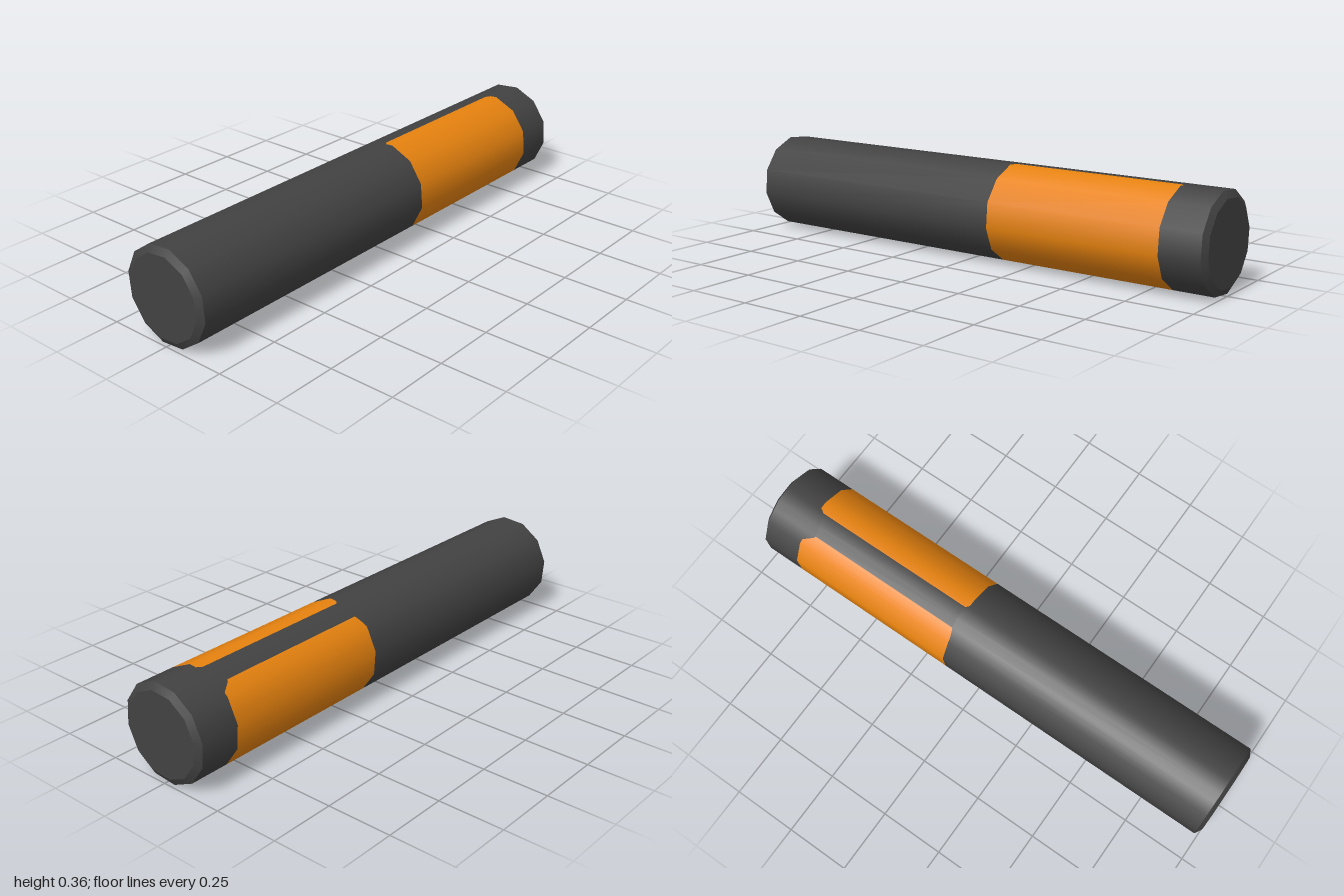
import * as THREE from 'three';

const R = 0.1845, R_END = 0.159, CY = 0.1817, X_RIM = 0.985, SIDES = 12;

// Around the barrel: [side number + fraction, wrap start x, wrap end x]
const STATIONS = [
  [0, 0.135, 0.83], [1, 0.135, 0.83], [2, 0.137, 0.83], [3, 0.137, 0.83],
  [3.3, 0.138, 0.83], [3.44, 0.15, 0.81], [4, 0.15, 0.79], [4.41, 0.15, 0.785],
  [4.5, 0.145, 0.79], [4.8, 0.137, 0.828], [5, 0.135, 0.83], [6, 0.135, 0.83], [7, 0.133, 0.83],
  [8, 0.13, 0.83], [9, 0.128, 0.83], [10, 0.128, 0.83], [11, 0.13, 0.828], [12, 0.135, 0.83],
];
const STRIPE = [3.44, 4.41]; // bare stripe left between the wrap's edges

// Point on the twelve-sided outline as [y, z], for unit radius
function outline(u) {
  const corner = (k) => {
    const a = THREE.MathUtils.degToRad(-10 + (k * 360) / SIDES);
    return [Math.sin(a), Math.cos(a)];
  };
  const k = Math.floor(u), t = u - k, a = corner(k), b = corner(k + 1);
  return [a[0] + (b[0] - a[0]) * t, a[1] + (b[1] - a[1]) * t];
}

// Vertex at station u; nx tilts the normal along the axis
function vertex(u, x, r, nx = 0) {
  const [y, z] = outline(u);
  const radial = new THREE.Vector2(y, z).normalize().multiplyScalar(Math.sqrt(1 - nx * nx));
  return { p: [x, y * r, z * r], n: [nx, radial.x, radial.y] };
}

class Surface {
  constructor() { this.p = []; this.n = []; }
  tri(...vs) { for (const v of vs) { this.p.push(...v.p); this.n.push(...v.n); } }
  quad(a, b, c, d) { this.tri(a, b, c); this.tri(a, c, d); }
  mesh(name, material) {
    const g = new THREE.BufferGeometry();
    g.setAttribute('position', new THREE.Float32BufferAttribute(this.p, 3));
    g.setAttribute('normal', new THREE.Float32BufferAttribute(this.n, 3));
    const m = new THREE.Mesh(g, material);
    m.name = name;
    m.position.y = CY;
    return m;
  }
}

export function createModel() {
  const darkGrey = new THREE.MeshStandardMaterial({ color: 0x424242 });
  darkGrey.name = 'darkGrey';
  const orange = new THREE.MeshStandardMaterial({ color: 0xe8830f });
  orange.name = 'orange';

  const barrel = new Surface(), wrap = new Surface(), rims = new Surface(), caps = new Surface();

  // Barrel and wrap share one surface, split lengthwise at the wrap's ends
  for (let i = 0; i < STATIONS.length - 1; i++) {
    const [u0, s0, e0] = STATIONS[i], [u1, s1, e1] = STATIONS[i + 1];
    const bare = u0 >= STRIPE[0] && u0 < STRIPE[1];
    const xs0 = [-X_RIM, s0, e0, X_RIM], xs1 = [-X_RIM, s1, e1, X_RIM];
    for (let j = 0; j < 3; j++) {
      const target = j === 1 && !bare ? wrap : barrel;
      target.quad(vertex(u0, xs0[j], R), vertex(u0, xs0[j + 1], R),
        vertex(u1, xs1[j + 1], R), vertex(u1, xs1[j], R));
    }
  }

  // Bevelled rims and flat caps at both ends
  for (let k = 0; k < SIDES; k++) {
    rims.quad(vertex(k, -1, R_END, -0.86), vertex(k, -X_RIM, R, -0.86),
      vertex(k + 1, -X_RIM, R, -0.86), vertex(k + 1, -1, R_END, -0.86));
    rims.quad(vertex(k, X_RIM, R, 0.86), vertex(k, 1, R_END, 0.86),
      vertex(k + 1, 1, R_END, 0.86), vertex(k + 1, X_RIM, R, 0.86));
    for (const s of [-1, 1]) {
      const centre = { p: [s, 0, 0], n: [s, 0, 0] };
      const a = vertex(k, s, R_END, s), b = vertex(k + 1, s, R_END, s);
      if (s > 0) caps.tri(centre, b, a);
      else caps.tri(centre, a, b);
    }
  }

  const model = new THREE.Group();
  model.name = 'cylinderCell';
  model.add(barrel.mesh('barrel', darkGrey), wrap.mesh('orangeWrap', orange),
    rims.mesh('bevelledRims', darkGrey), caps.mesh('endCaps', darkGrey));
  return model;
}
